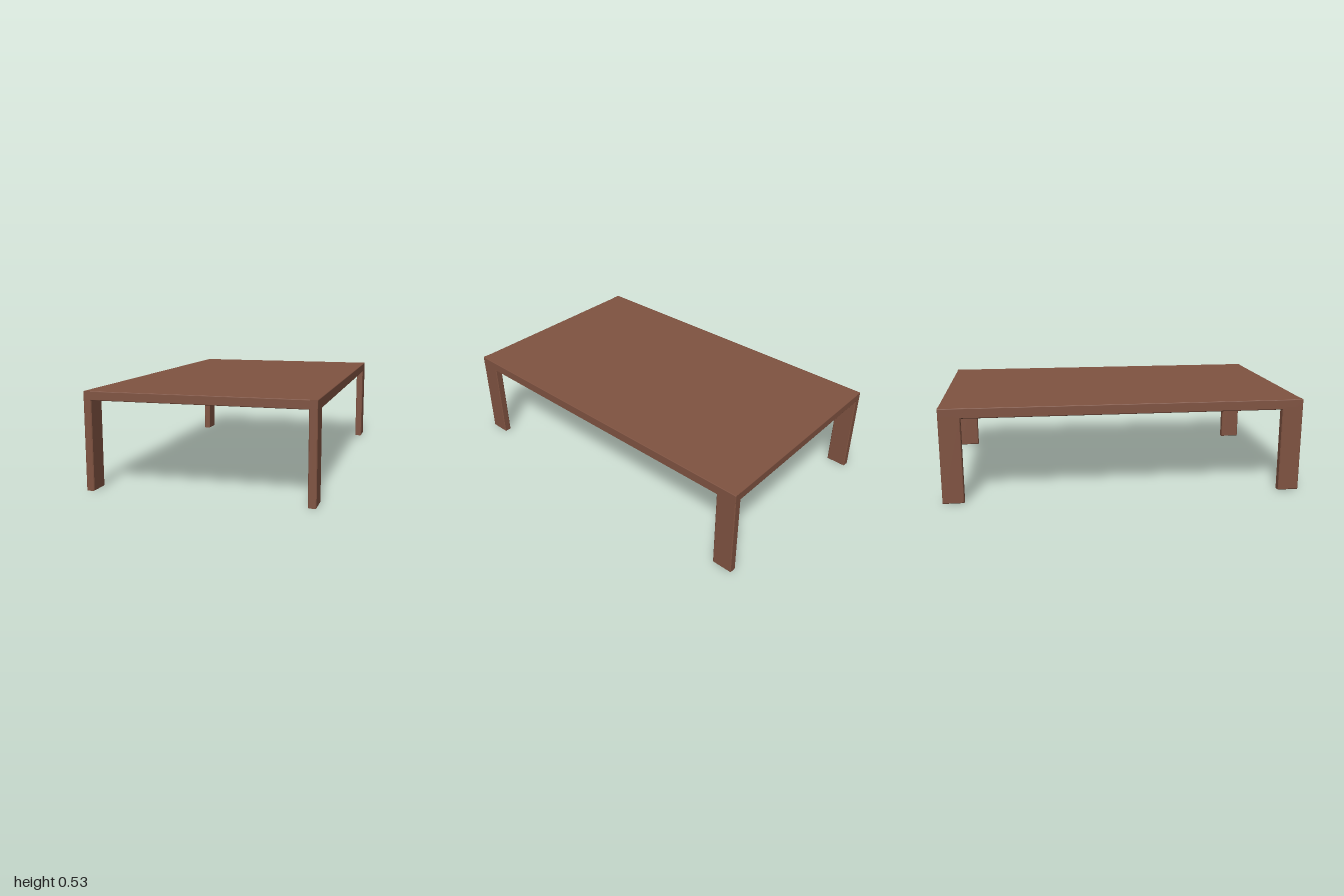
import * as THREE from 'three';
import { RoundedBoxGeometry } from 'three/addons/geometries/RoundedBoxGeometry.js';

const WIDTH = 1.22, LENGTH = 2, HEIGHT = 0.528;
const TOP_THICKNESS = 0.048, RAIL_BOTTOM = 0.472;
const LEG_WIDTH = 0.043, LEG_DEPTH = 0.117, BEVEL = 0.004;

export function createModel() {
  const table = new THREE.Group();
  table.name = 'lowTable';
  const wood = new THREE.MeshStandardMaterial({ color: 0x805341 });
  wood.name = 'brown wood';

  // Slab with slightly eased edges
  const top = new THREE.Mesh(
    new RoundedBoxGeometry(WIDTH, TOP_THICKNESS, LENGTH, 1, BEVEL), wood);
  top.name = 'tableTop';
  top.position.y = HEIGHT - TOP_THICKNESS / 2;
  table.add(top);

  // Side frame: two legs joined by a long rail, cut as one bevelled board
  const outer = LENGTH / 2, inner = outer - LEG_DEPTH;
  const outline = new THREE.Shape([
    [-outer, 0], [-inner, 0], [-inner, RAIL_BOTTOM], [inner, RAIL_BOTTOM],
    [inner, 0], [outer, 0], [outer, HEIGHT], [-outer, HEIGHT],
  ].map(([z, y]) => new THREE.Vector2(z, y)));
  const frame = new THREE.ExtrudeGeometry(outline, {
    depth: LEG_WIDTH - 2 * BEVEL, bevelEnabled: true, bevelSegments: 1,
    bevelThickness: BEVEL, bevelSize: BEVEL, bevelOffset: -BEVEL,
  });
  frame.translate(0, 0, BEVEL - LEG_WIDTH / 2);
  frame.rotateY(Math.PI / 2);

  for (const side of [-1, 1]) {
    const legs = new THREE.Mesh(frame, wood);
    legs.name = side > 0 ? 'leftLegsAndRail' : 'rightLegsAndRail';
    legs.position.x = side * (WIDTH - LEG_WIDTH) / 2;
    table.add(legs);
  }
  return table;
}
